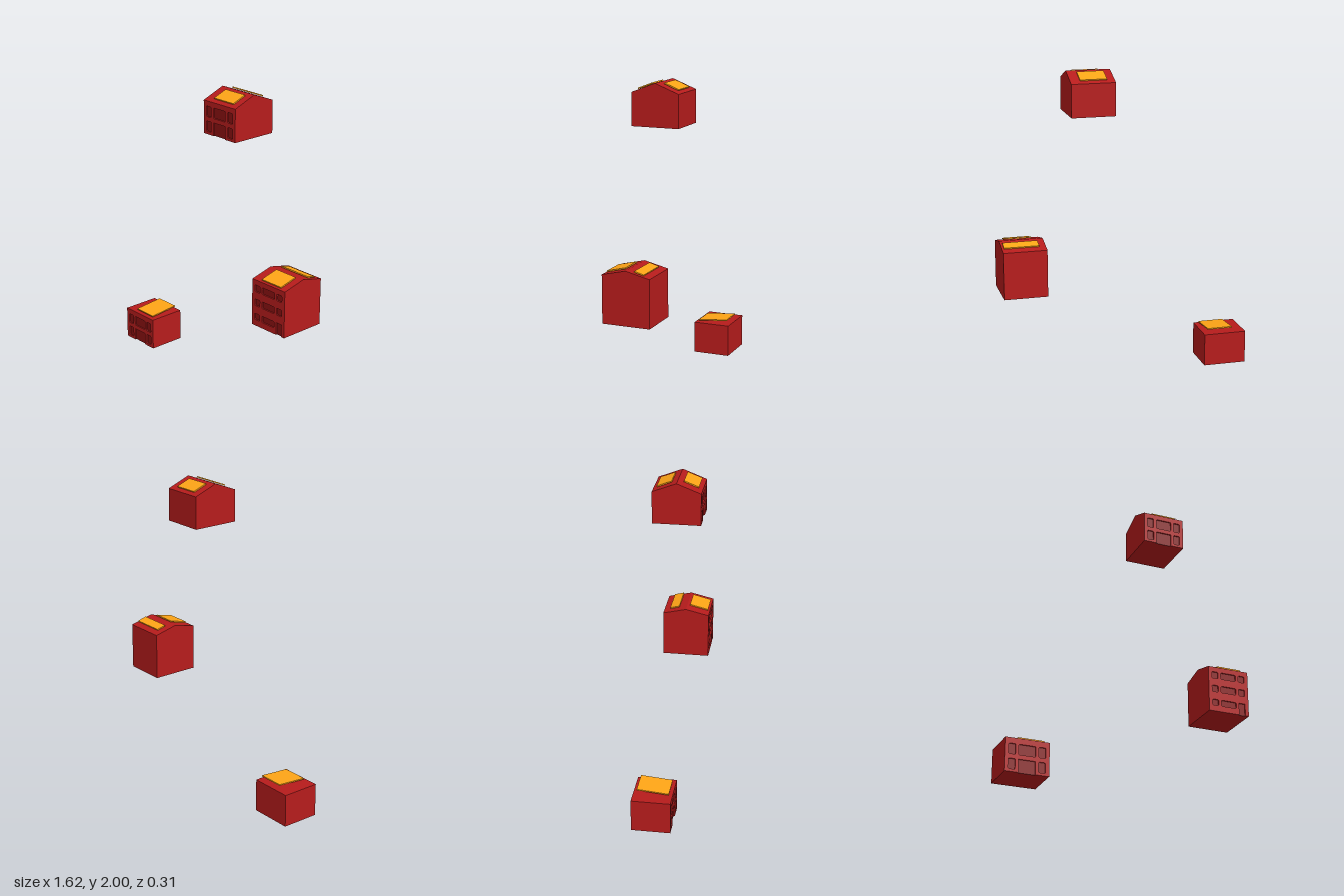
import * as THREE from 'three';

const wallMat = new THREE.MeshStandardMaterial({ color: 0xb71c1c });
const glassMat = new THREE.MeshStandardMaterial({ color: 0x8a1212 });
const panelMat = new THREE.MeshStandardMaterial({ color: 0xffa516 });

const WIDTH = 0.284;
const RECESS = 0.01;
const COLUMNS = [[-0.118, -0.074], [-0.054, 0.053], [0.073, 0.117]];

function mesh(name, geometry, material) {
  const m = new THREE.Mesh(geometry, material);
  m.name = name;
  return m;
}

// Rectangle with clipped corners, used for window openings
function windowPath(x0, x1, y0, y1, c = 0.005) {
  return new THREE.Path([
    [x0 + c, y0], [x0, y0 + c], [x0, y1 - c], [x0 + c, y1],
    [x1 - c, y1], [x1, y1 - c], [x1, y0 + c], [x1 - c, y0],
  ].map(([x, y]) => new THREE.Vector2(x, y)));
}

// Thin slab whose middle line runs from (z0, y0) at the back to (z1, y1) at the front
function roofPanel(name, x0, x1, z0, y0, z1, y1) {
  const panel = mesh(name, new THREE.BoxGeometry(x1 - x0, 0.008, Math.hypot(z1 - z0, y1 - y0)), panelMat);
  panel.position.set((x0 + x1) / 2, (y0 + y1) / 2, (z0 + z1) / 2);
  panel.rotation.x = Math.atan2(y0 - y1, z1 - z0);
  return panel;
}

// One house standing on its own y = 0; rows are [bottom, top] pairs, lowest first
function house({ name, x, y, back, front, eave, ridge, rows, doorColumn, panels }) {
  const group = new THREE.Group();
  group.name = name;
  group.position.set(x, y, 0);
  const wallZ = front - RECESS, facadeTop = eave - 0.004;

  // Main volume: side profile drawn in (z, y), extruded across the width
  const profile = [[back, 0], [wallZ, 0], [wallZ, facadeTop], [front, facadeTop], [front, eave]];
  if (ridge > eave) profile.push([(back + front) / 2, ridge]);
  profile.push([back, eave]);
  const bodyShape = new THREE.Shape(profile.map(([z, h]) => new THREE.Vector2(z, h)));
  const body = new THREE.ExtrudeGeometry(bodyShape, { depth: WIDTH, bevelEnabled: false });
  body.translate(0, 0, -WIDTH / 2).rotateY(-Math.PI / 2);
  group.add(mesh('houseBody', body, wallMat));

  // Front wall with the doorway notched into its lower edge
  const w = WIDTH / 2, [d0, d1] = COLUMNS[doorColumn], doorTop = rows[0][1];
  const facade = new THREE.Shape([
    [-w, 0], [d0, 0], [d0, doorTop], [d1, doorTop], [d1, 0], [w, 0], [w, facadeTop], [-w, facadeTop],
  ].map(([px, py]) => new THREE.Vector2(px, py)));

  rows.forEach(([y0, y1], r) => COLUMNS.forEach(([x0, x1], c) => {
    const isDoor = r === 0 && c === doorColumn;
    const bottom = isDoor ? 0 : y0;
    if (!isDoor) facade.holes.push(windowPath(x0, x1, y0, y1));
    // Dark pane at the back of the opening
    const pane = mesh(isDoor ? 'door' : 'windowPane', new THREE.BoxGeometry(x1 - x0, y1 - bottom, 0.006), glassMat);
    pane.position.set((x0 + x1) / 2, (bottom + y1) / 2, wallZ - 0.002);
    group.add(pane);
  }));

  const frontWall = mesh('frontWall', new THREE.ExtrudeGeometry(facade, { depth: RECESS, bevelEnabled: false }), wallMat);
  frontWall.position.z = wallZ;
  group.add(frontWall);

  panels.forEach((p) => group.add(roofPanel('solarPanel', ...p)));
  return group;
}

export function createModel() {
  const model = new THREE.Group();
  model.name = 'houses';
  const twoFloors = [[0.017, 0.084], [0.112, 0.179]];
  const threeFloors = [[0.04, 0.082], [0.135, 0.18], [0.23, 0.275]];

  // Panels: x0, x1, back z, back y, front z, front y
  model.add(
    house({
      name: 'flatRoofHouse', x: -0.671, y: 0, back: -0.157, front: 0.094, eave: 0.216, ridge: 0.216,
      rows: twoFloors, doorColumn: 1,
      panels: [[-0.055, 0.114, -0.133, 0.246, 0.071, 0.228]],
    }),
    house({
      name: 'gableHouse', x: 0.221, y: 1.725, back: -0.157, front: 0.157, eave: 0.212, ridge: 0.273,
      rows: twoFloors, doorColumn: 1,
      panels: [
        [-0.091, 0.081, -0.132, 0.23, -0.037, 0.267],
        [-0.073, 0.099, 0.037, 0.267, 0.132, 0.23],
      ],
    }),
    house({
      name: 'tallGableHouse', x: 0.669, y: 0.578, back: -0.157, front: 0.157, eave: 0.309, ridge: 0.346,
      rows: threeFloors, doorColumn: 2,
      panels: [
        [-0.097, 0.129, -0.114, 0.327, -0.051, 0.344],
        [-0.071, 0.096, 0.019, 0.35, 0.144, 0.319],
      ],
    }),
  );
  return model;
}
